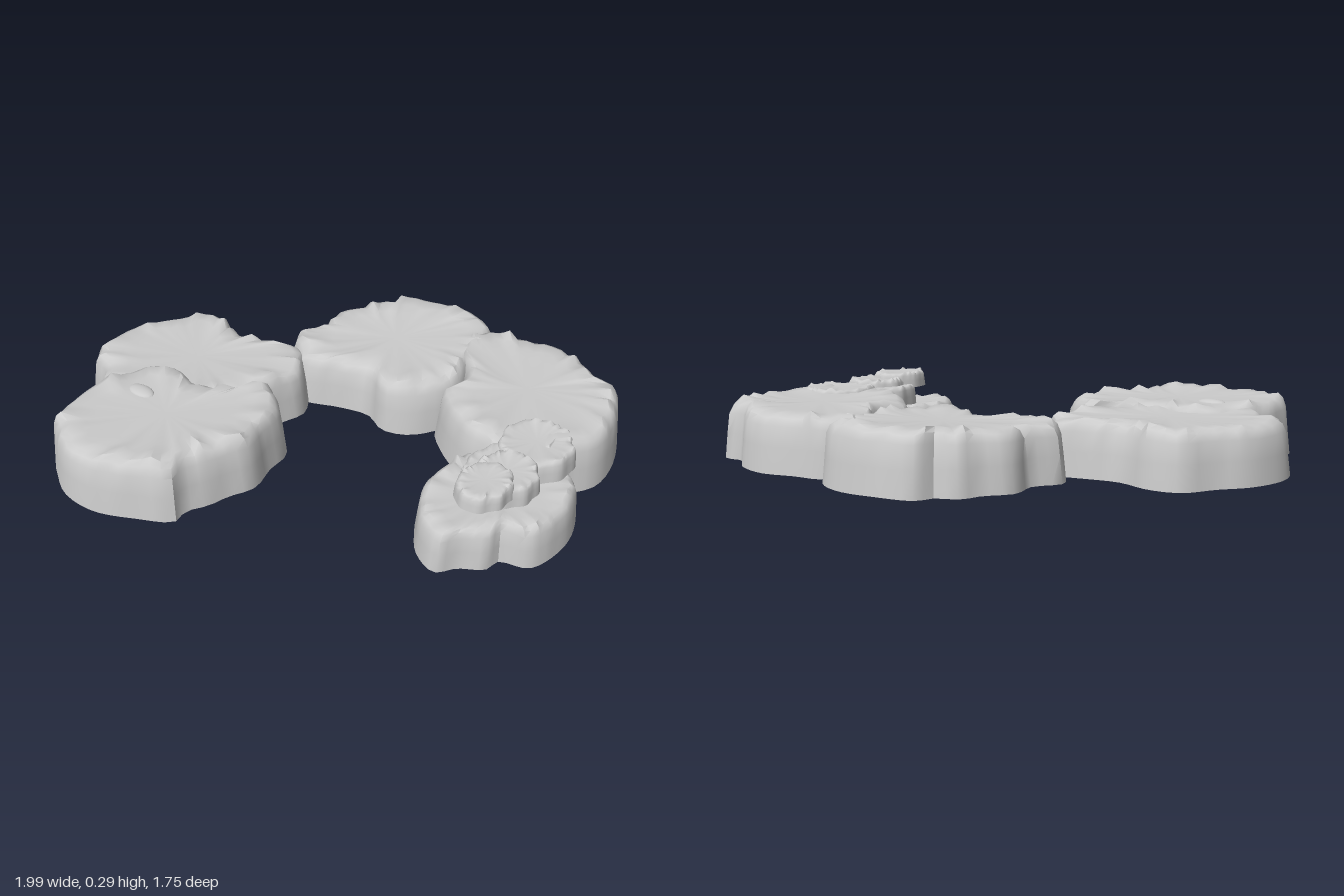
import * as THREE from 'three';
import { toCreasedNormals } from 'three/addons/utils/BufferGeometryUtils.js';

const material = new THREE.MeshStandardMaterial({ color: 0xcccccc, side: THREE.DoubleSide });

// Repeatable noise in 0..1
function seeded(seed) {
  let s = seed;
  return () => ((s = (s * 16807) % 2147483647) / 2147483647);
}

// Hollow rock slab, open underneath: rings from the bottom of the wall
// over a worn rim to the middle of the top. points are x, z pairs.
function slab(name, points, { bottom, top, inset = 0.035, rough = 0.02, slope = 0, segments = 60, seed = 7 }) {
  const random = seeded(seed * 7919);
  const pts = [];
  for (let i = 0; i < points.length; i += 2) pts.push(new THREE.Vector3(points[i], 0, points[i + 1]));
  const shape = pts.map((p) => new THREE.Vector2(p.x, -p.z));
  if (THREE.ShapeUtils.isClockWise(shape)) pts.reverse();
  const outline = new THREE.CatmullRomCurve3(pts, true, 'centripetal').getSpacedPoints(segments).slice(0, segments);
  const centre = outline.reduce((c, p) => c.add(p), new THREE.Vector3()).divideScalar(segments);

  // Uneven rim: how far each point is worn back, and how much it is raised
  const worn = outline.map(() => random());
  const raised = outline.map(() => random() ** 2);
  const h = top - bottom;
  // [inward distance, wear, height, share of the rim's roughness]
  const rings = [
    [0, 0, bottom, 0],
    [inset * 0.25, 0.1, bottom + h * 0.45, 0],
    [inset * 0.45, 0.3, top - h * 0.2, 0.2],
    [inset * 0.8, 0.5, top - h * 0.06, 0.6],
    [inset * 1.3, 0.9, top, 1],
    [inset * 2.8, 1.2, top, 0.35],
    [inset * 5, 0, top - rough * 0.2, 0],
  ];
  const position = [];
  const index = [];
  rings.forEach(([inward, wear, y, bump], r) => {
    outline.forEach((p, i) => {
      const d = p.clone().sub(centre);
      const length = d.length();
      d.setLength(Math.max(length - inward - wear * worn[i] * inset, length * 0.3)).add(centre);
      const tilt = r > 1 ? slope * (d.z - centre.z) : 0;
      position.push(d.x, y + tilt + bump * rough * (raised[i] * 1.3 - 0.35), d.z);
      if (r === 0) return;
      const j = (i + 1) % segments;
      const a = (r - 1) * segments;
      const b = r * segments;
      index.push(a + i, a + j, b + j, a + i, b + j, b + i);
    });
  });
  const last = (rings.length - 1) * segments;
  position.push(centre.x, top - rough * 0.2, centre.z);
  for (let i = 0; i < segments; i++) index.push(last + i, last + ((i + 1) % segments), last + segments);

  const geometry = new THREE.BufferGeometry();
  geometry.setAttribute('position', new THREE.Float32BufferAttribute(position, 3));
  geometry.setIndex(index);
  const mesh = new THREE.Mesh(toCreasedNormals(geometry, 0.8), material);
  mesh.name = name;
  return mesh;
}

// Lumpy oval outline for the small steps
function lumpyOval(x, z, rx, rz, seed) {
  const random = seeded(seed * 104729);
  const points = [];
  for (let i = 0; i < 18; i++) {
    const a = (i / 18) * Math.PI * 2;
    const k = i % 2 ? 1 : 0.9 + random() * 0.08;
    points.push(x + Math.cos(a) * rx * k, z + Math.sin(a) * rz * k);
  }
  return points;
}

export function createModel() {
  const group = new THREE.Group();
  group.name = 'rockPlatforms';

  // Large platforms
  group.add(slab('backMiddlePlatform', [
    -0.44, -0.28, -0.39, -0.38, -0.42, -0.5, -0.36, -0.6, -0.34, -0.68, -0.26, -0.73, -0.25, -0.79,
    -0.1, -0.84, 0.05, -0.86, 0.19, -0.81, 0.25, -0.7, 0.27, -0.55, 0.3, -0.42, 0.27, -0.32,
    0.2, -0.22, 0.1, -0.18, 0, -0.22, -0.12, -0.19, -0.28, -0.13, -0.4, -0.21,
  ], { bottom: 0.02, top: 0.232, slope: -0.03, seed: 3 }));
  group.add(slab('backLeftPlatform', [
    0.12, -0.7, 0.2, -0.8, 0.32, -0.83, 0.45, -0.87, 0.6, -0.84, 0.7, -0.77, 0.78, -0.78, 0.87, -0.65,
    0.92, -0.5, 0.92, -0.39, 0.87, -0.3, 0.82, -0.18, 0.7, -0.11, 0.58, -0.13, 0.47, -0.15,
    0.36, -0.21, 0.27, -0.3, 0.29, -0.42, 0.2, -0.54, 0.14, -0.63,
  ], { bottom: 0.03, top: 0.242, seed: 11 }));
  group.add(slab('rightPlatform', [
    -0.2, -0.06, -0.25, -0.15, -0.31, -0.22, -0.42, -0.19, -0.58, -0.15, -0.73, -0.18, -0.84, -0.15,
    -0.9, -0.03, -0.97, 0.08, -0.995, 0.25, -0.94, 0.38, -0.86, 0.4, -0.78, 0.48, -0.62, 0.48,
    -0.45, 0.42, -0.32, 0.3, -0.25, 0.17, -0.23, 0.05,
  ], { bottom: 0.025, top: 0.226, seed: 19 }));
  group.add(slab('frontRightPlatform', [
    -0.25, 0.06, -0.17, 0.1, -0.08, 0.18, -0.07, 0.28, -0.04, 0.4, -0.08, 0.5, -0.1, 0.58, -0.14, 0.66,
    -0.13, 0.72, -0.25, 0.8, -0.4, 0.87, -0.55, 0.87, -0.65, 0.82, -0.74, 0.75, -0.76, 0.65,
    -0.79, 0.52, -0.76, 0.4, -0.7, 0.27, -0.6, 0.22, -0.48, 0.23, -0.35, 0.18, -0.28, 0.11,
  ], { bottom: 0.02, top: 0.242, seed: 29 }));

  // Small bump showing through the front platform
  const bump = new THREE.Mesh(new THREE.SphereGeometry(1, 16, 6, 0, Math.PI * 2, 0, Math.PI / 2), material);
  bump.name = 'rockBump';
  bump.scale.set(0.06, 0.015, 0.035);
  bump.position.set(-0.575, 0.235, 0.44);
  group.add(bump);

  // Low platform carrying the steps
  group.add(slab('lowPlatform', [
    0.49, 0, 0.5, 0.12, 0.55, 0.21, 0.62, 0.29, 0.72, 0.325, 0.77, 0.26, 0.85, 0.2, 0.86, 0.14,
    0.96, 0.1, 0.995, -0.05, 0.97, -0.18, 0.91, -0.27, 0.76, -0.29, 0.6, -0.22, 0.5, -0.12,
  ], { bottom: 0.003, top: 0.162, inset: 0.025, rough: 0.012, seed: 41 }));

  // Steps climbing towards the front: x, z, radius x, radius z, bottom, top
  [
    [0.75, -0.24, 0.145, 0.15, 0.17, 0.25],
    [0.72, -0.05, 0.13, 0.17, 0.155, 0.238],
    [0.765, -0.02, 0.12, 0.13, 0.19, 0.262],
    [0.75, 0.09, 0.1, 0.12, 0.222, 0.282],
  ].forEach(([x, z, rx, rz, bottom, top], i) => {
    group.add(slab(`step${i + 1}`, lumpyOval(x, z, rx, rz, i + 2),
      { bottom, top, inset: 0.01, rough: 0.01, segments: 54, seed: 50 + i }));
  });
  return group;
}
